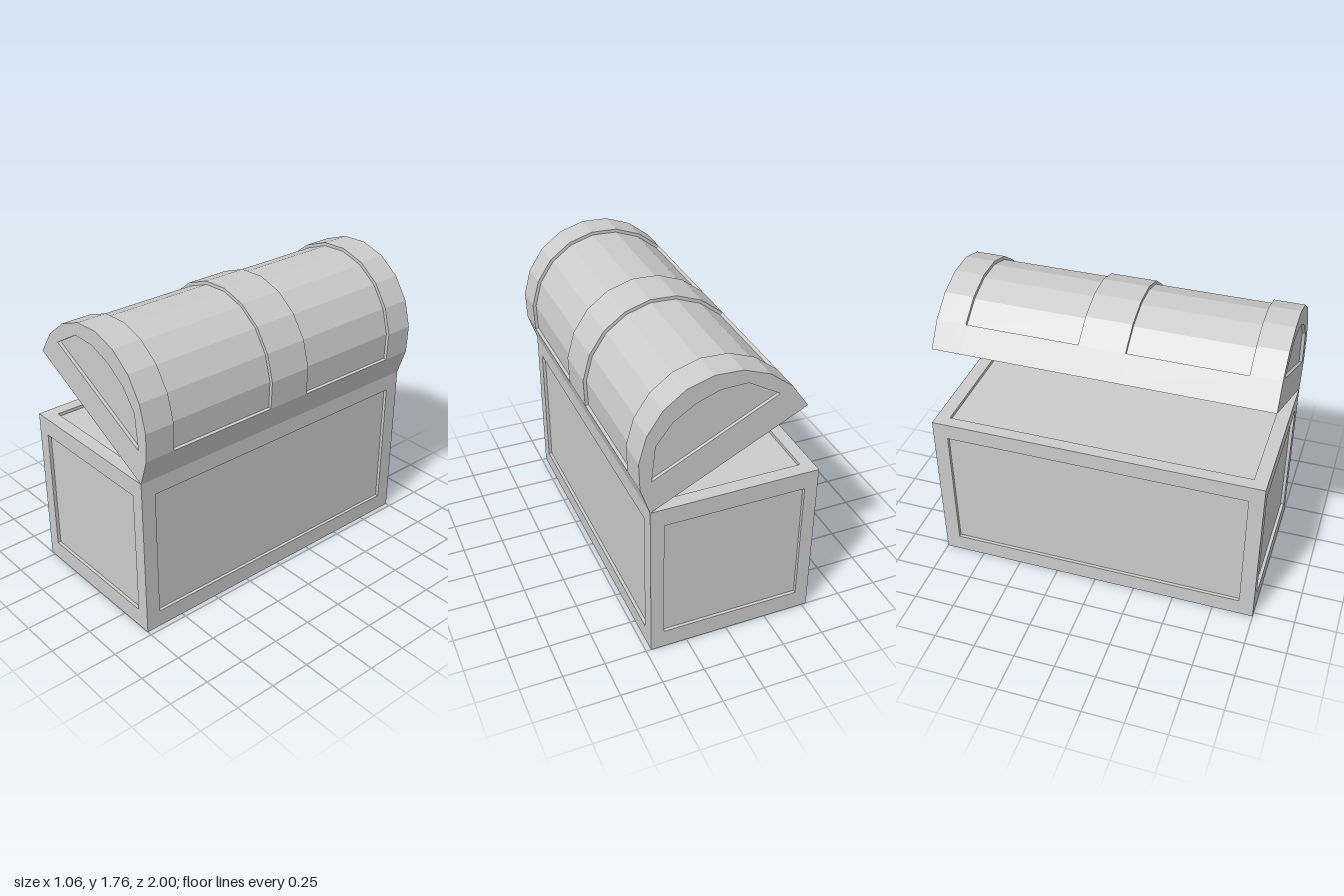
import * as THREE from 'three';

const material = new THREE.MeshStandardMaterial({ color: 0xcccccc, flatShading: true });
const INSET = 0.02; // depth of every sunken panel

const path = (Type, pts) => new Type(pts.map(([x, y]) => new THREE.Vector2(x, y)));
const rect = (x0, x1, y0, y1) => [[x0, y0], [x1, y0], [x1, y1], [x0, y1]];

// Prism with an outline and optional hole, running from z0 to z1
function prism(name, outline, z0, z1, hole) {
  const shape = path(THREE.Shape, outline);
  if (hole) shape.holes.push(path(THREE.Path, hole));
  const geometry = new THREE.ExtrudeGeometry(shape, { depth: z1 - z0, bevelEnabled: false });
  geometry.translate(0, 0, z0);
  const mesh = new THREE.Mesh(geometry, material);
  mesh.name = name;
  return mesh;
}

// Flat border whose outer face lies on local z = 0
const border = (name, w, h, hole) =>
  prism(name, rect(-w / 2, w / 2, -h / 2, h / 2), -INSET, 0, hole);

function createBody() {
  const body = new THREE.Group();
  body.name = 'chestBody';
  body.position.set(-0.03, 0.5, 0);

  const core = new THREE.Mesh(
    new THREE.BoxGeometry(1 - 2 * INSET, 1 - INSET, 2 - 2 * INSET), material);
  core.name = 'bodyPanels';
  core.position.y = -INSET / 2;
  body.add(core);

  for (const side of [1, -1]) {
    const end = border('endBorder', 1, 1, rect(-0.42, 0.42, -0.385, 0.39));
    end.position.z = side;
    end.rotation.y = side > 0 ? 0 : Math.PI;
    const long = border('longSideBorder', 2, 1, rect(-0.91, 0.91, -0.395, 0.4));
    long.position.x = side * 0.5;
    long.rotation.y = side * Math.PI / 2;
    body.add(end, long);
  }
  const top = border('topBorder', 1, 2, rect(-0.425, 0.425, -0.918, 0.918));
  top.position.y = 0.5;
  top.rotation.x = -Math.PI / 2;
  body.add(top);
  return body;
}

// Vaulted outline of the lid; the sunken version drops the inner eight facets
function lidOutline(sunken, hollow) {
  const at = (i, d) => {
    const a = i * Math.PI / 10;
    return [(0.5 - d) * Math.cos(a), (0.55 - d) * Math.sin(a)];
  };
  const pts = [];
  for (let i = 0; i <= 10; i++) {
    const inner = sunken && i > 0 && i < 10;
    if (inner && i === 1) pts.push(at(i, 0));
    pts.push(at(i, inner ? INSET : 0));
    if (inner && i === 9) pts.push(at(i, 0));
  }
  if (hollow) pts.push([-0.4, 0], [-0.4, 0.15], [0.4, 0.15], [0.4, 0]);
  return pts;
}

function createLid() {
  const hinge = new THREE.Group();
  hinge.name = 'lid';
  hinge.position.set(0.47, 1, 0);
  hinge.rotation.z = -0.468;
  const lid = new THREE.Group();
  lid.name = 'lidShell';
  lid.position.x = -0.5;
  hinge.add(lid);

  // Vault sections along the length: [name, z0, z1, sunken]
  const sections = [
    ['frontBand', 0.82, 0.88, false],
    ['frontVaultPanel', 0.13, 0.82, true],
    ['middleBand', -0.145, 0.13, false],
    ['backVaultPanel', -0.82, -0.145, true],
    ['backBand', -0.88, -0.82, false],
  ];
  for (const [name, z0, z1, sunken] of sections) {
    lid.add(prism(name, lidOutline(sunken, true), z0, z1));
  }

  // Solid ends, each with a sunken panel
  const panel = [[0.4, 0.177], [0.283, 0.358], [0.144, 0.424], [0, 0.44],
    [-0.144, 0.424], [-0.283, 0.358], [-0.4, 0.177]];
  const outline = lidOutline(false, false);
  const face = 1 - INSET;
  lid.add(
    prism('frontLidEnd', outline, 0.88, face),
    prism('frontLidBorder', outline, face, 1, panel),
    prism('backLidEnd', outline, -face, -0.88),
    prism('backLidBorder', outline, -1, -face, panel));
  return hinge;
}

export function createModel() {
  const chest = new THREE.Group();
  chest.name = 'chest';
  chest.add(createBody(), createLid());
  return chest;
}
